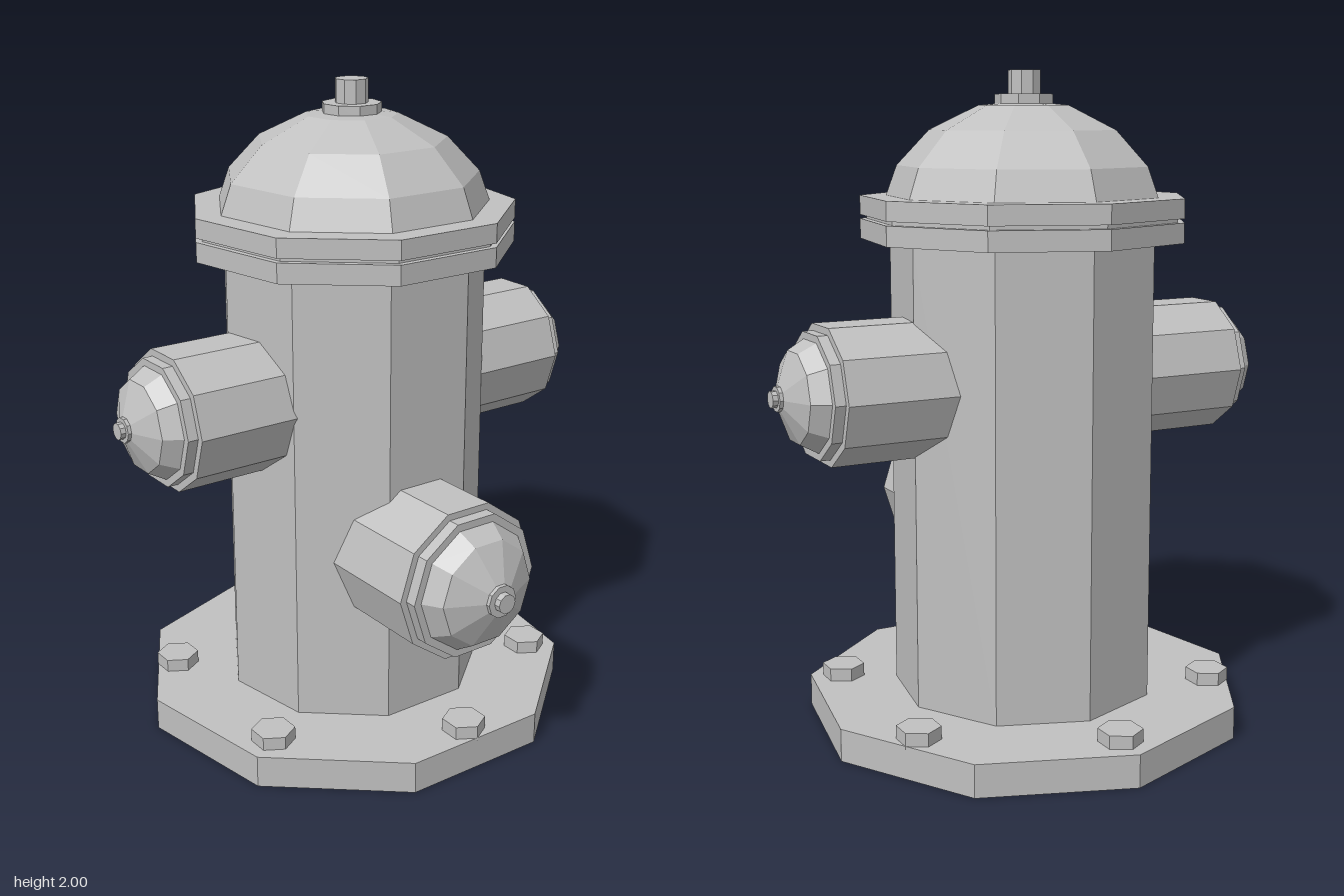
import * as THREE from 'three';

const AXIS_Z = -0.05;

export function createModel() {
  const metal = new THREE.MeshStandardMaterial({ color: 0xc0c0c0 });
  metal.name = 'grey metal';
  metal.flatShading = true;

  const model = new THREE.Group();
  model.name = 'hydrant';

  // Faceted solid of revolution from [radius, height] pairs, bottom to top
  function turned(name, profile, sides, start, parent) {
    const points = profile.map(([r, y]) => new THREE.Vector2(r, y));
    const mesh = new THREE.Mesh(new THREE.LatheGeometry(points, sides, start), metal);
    mesh.name = name;
    parent.add(mesh);
    return mesh;
  }

  const disc = (r, y0, y1) => [[0, y0], [r, y0], [r, y1], [0, y1]];

  // Nine-sided upright parts, one corner pointing straight back
  const column = new THREE.Group();
  column.name = 'column';
  column.position.z = AXIS_Z;
  model.add(column);
  const upright = (name, profile) => turned(name, profile, 9, Math.PI, column);

  upright('basePlate', disc(0.686, 0, 0.1));
  upright('barrel', disc(0.41, 0.1, 1.5));
  upright('lowerFlange', disc(0.5, 1.5, 1.56));
  upright('flangeGasket', disc(0.48, 1.56, 1.572));
  upright('upperFlange', disc(0.5, 1.572, 1.63));
  upright('dome', [[0.42, 1.63], [0.387, 1.72], [0.288, 1.825], [0.14, 1.897], [0, 1.91]]);
  upright('topCollar', disc(0.09, 1.89, 1.93));
  upright('topNut', disc(0.05, 1.93, 2.0));

  // Ring of six hexagonal bolts on the base plate
  for (let i = 0; i < 6; i++) {
    const a = (i * Math.PI) / 3;
    const bolt = turned('baseBolt', disc(0.066, 0.09, 0.14), 6, 0, column);
    bolt.position.set(Math.sin(a) * 0.58, 0, Math.cos(a) * 0.58);
  }

  // Ten-sided outlet with a step, domed cap and small nut, pointing along +z
  function outlet(name, pipe, ring, cap, nut) {
    const group = new THREE.Group();
    group.name = name;
    const pieces = [['pipe', pipe], ['capRing', ring], ['cap', cap], ['capNut', nut]];
    for (const [part, profile] of pieces) {
      turned(name + '_' + part, profile, 10, Math.PI / 10, group).rotation.x = Math.PI / 2;
    }
    model.add(group);
    return group;
  }

  const front = outlet(
    'frontOutlet',
    disc(0.243, 0.2, 0.557),
    disc(0.222, 0.557, 0.594),
    [[0.198, 0.594], [0.163, 0.65], [0.05, 0.705], [0, 0.705]],
    [[0.05, 0.7], [0.05, 0.717], [0.03, 0.717], [0.03, 0.737], [0, 0.737]]
  );
  front.position.set(-0.025, 0.617, 0);

  for (const side of [1, -1]) {
    const group = outlet(
      side > 0 ? 'leftOutlet' : 'rightOutlet',
      disc(0.212, 0.28, 0.665),
      disc(0.19, 0.665, 0.697),
      [[0.168, 0.697], [0.138, 0.75], [0.04, 0.793], [0, 0.793]],
      [[0.038, 0.788], [0.038, 0.804], [0.025, 0.804], [0.025, 0.82], [0, 0.82]]
    );
    group.position.set(0, 1.075, AXIS_Z);
    group.rotation.y = (side * Math.PI) / 2;
  }

  return model;
}
